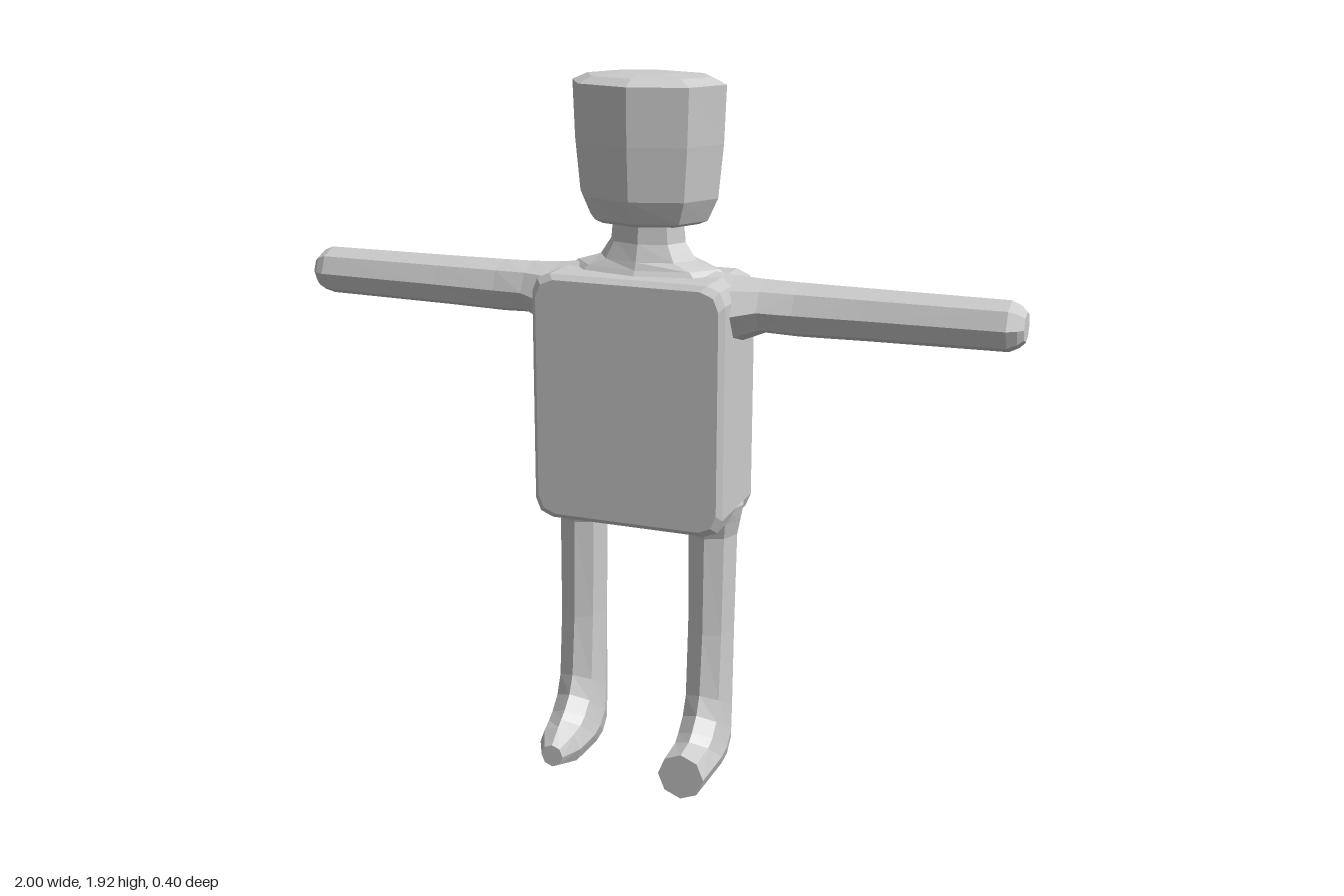
import * as THREE from 'three';

const material = new THREE.MeshStandardMaterial({ color: 0xcccccc, flatShading: true, side: THREE.DoubleSide });
const V = (x, y, z) => new THREE.Vector3(x, y, z);

// Skin a list of equal-length rings and close both ends; winding is fixed by signed volume.
function loft(name, rings) {
  const tris = [], n = rings[0].length;
  const centre = (r) => r.reduce((s, p) => s.add(p), V(0, 0, 0)).divideScalar(n);
  const first = rings[0], last = rings[rings.length - 1];
  const c0 = centre(first), c1 = centre(last);
  for (let j = 0; j < n; j++) {
    const k = (j + 1) % n;
    for (let i = 0; i < rings.length - 1; i++) {
      const a = rings[i][j], b = rings[i][k], c = rings[i + 1][k], d = rings[i + 1][j];
      tris.push([a, b, c], [a, c, d]);
    }
    tris.push([c0, first[k], first[j]], [c1, last[j], last[k]]);
  }
  const volume = tris.reduce((s, [a, b, c]) => s + a.dot(b.clone().cross(c)), 0);
  const points = tris.flatMap(([a, b, c]) => (volume < 0 ? [a, c, b] : [a, b, c]));
  const geometry = new THREE.BufferGeometry().setFromPoints(points);
  geometry.computeVertexNormals();
  const mesh = new THREE.Mesh(geometry, material);
  mesh.name = name;
  return mesh;
}

// Eight-sided ring built from a callback receiving cos and sin.
const octagon = (fn) => Array.from({ length: 8 }, (_, i) => {
  const a = (i * Math.PI) / 4;
  return fn(Math.cos(a), Math.sin(a));
});

// Stack of horizontal octagons: [y, x radius, z radius]
const column = (name, levels) => loft(name, levels.map(([y, rx, rz]) =>
  octagon((c, s) => V(c * rx, y, -0.047 + s * rz))));

// Rounded rectangle ring for the torso
function torsoRing(z, inset) {
  const w = 0.268 - inset, h = 0.337 - inset, r = 0.05, ring = [];
  [[1, 1], [-1, 1], [-1, -1], [1, -1]].forEach(([sx, sy], q) => {
    for (let i = 0; i < 3; i++) {
      const a = (q + i / 2) * Math.PI / 2;
      ring.push(V(sx * (w - r) + r * Math.cos(a), 1.075 + sy * (h - r) + r * Math.sin(a), z));
    }
  });
  return ring;
}

// Arm rings along x: [x, bottom y, top y, back z, front z]
function arm(side) {
  const rings = [
    [0.0, 1.22, 1.435, -0.15, 0.09],
    [0.13, 1.22, 1.43, -0.16, 0.1],
    [0.25, 1.235, 1.415, -0.158, 0.08],
    [0.33, 1.268, 1.41, -0.135, 0.05],
    [0.42, 1.265, 1.408, -0.125, 0.037],
    [0.6, 1.268, 1.406, -0.122, 0.028],
    [0.96, 1.272, 1.404, -0.117, 0.02],
    [0.985, 1.285, 1.393, -0.105, 0.008],
    [1.0, 1.3, 1.378, -0.088, -0.008],
  ].map(([x, y0, y1, z0, z1]) => octagon((c, s) =>
    V(side * x, (y0 + y1) / 2 + s * (y1 - y0) / 2, (z0 + z1) / 2 + c * (z1 - z0) / 2)));
  return loft(side > 0 ? 'leftArm' : 'rightArm', rings);
}

// Leg and foot rings: [front y, front z, back y, back z, half width]
function leg(side) {
  const rows = [
    [0.79, 0.07, 0.79, -0.14, 0.09],
    [0.745, 0.045, 0.745, -0.125, 0.08],
    [0.70, 0.027, 0.70, -0.118, 0.07],
    [0.42, 0.033, 0.42, -0.113, 0.067],
    [0.25, 0.052, 0.14, -0.113, 0.068],
    [0.20, 0.075, 0.05, -0.108, 0.07],
    [0.165, 0.11, 0.016, -0.075, 0.07],
    [0.148, 0.135, 0.006, -0.03, 0.068],
  ];
  // The left toe is cut flat, the right toe is tapered.
  if (side > 0) rows.push([0.14, 0.2, 0.01, 0.2, 0.065]);
  else rows.push([0.135, 0.155, 0.01, 0.125, 0.062], [0.1, 0.2, 0.035, 0.2, 0.032]);
  const rings = rows.map(([fy, fz, by, bz, w]) => octagon((c, s) =>
    V(side * 0.19 + s * w, (fy + by) / 2 + c * (fy - by) / 2, (fz + bz) / 2 + c * (fz - bz) / 2)));
  return loft(side > 0 ? 'leftLeg' : 'rightLeg', rings);
}

export function createModel() {
  const model = new THREE.Group();
  model.name = 'figure';

  model.add(loft('torso', [[0.12, 0.014], [0.106, 0], [-0.135, 0], [-0.167, 0.025]]
    .map(([z, inset]) => torsoRing(z, inset))));

  model.add(column('neck', [
    [1.38, 0.26, 0.13], [1.425, 0.2, 0.1], [1.445, 0.135, 0.092],
    [1.49, 0.105, 0.078], [1.56, 0.098, 0.073],
  ]));

  model.add(column('head', [
    [1.54, 0.14, 0.105], [1.55, 0.165, 0.12], [1.61, 0.193, 0.145], [1.75, 0.207, 0.154],
    [1.9, 0.213, 0.156], [1.918, 0.17, 0.125], [1.925, 0.08, 0.06],
  ]));

  for (const side of [1, -1]) model.add(arm(side), leg(side));
  return model;
}
